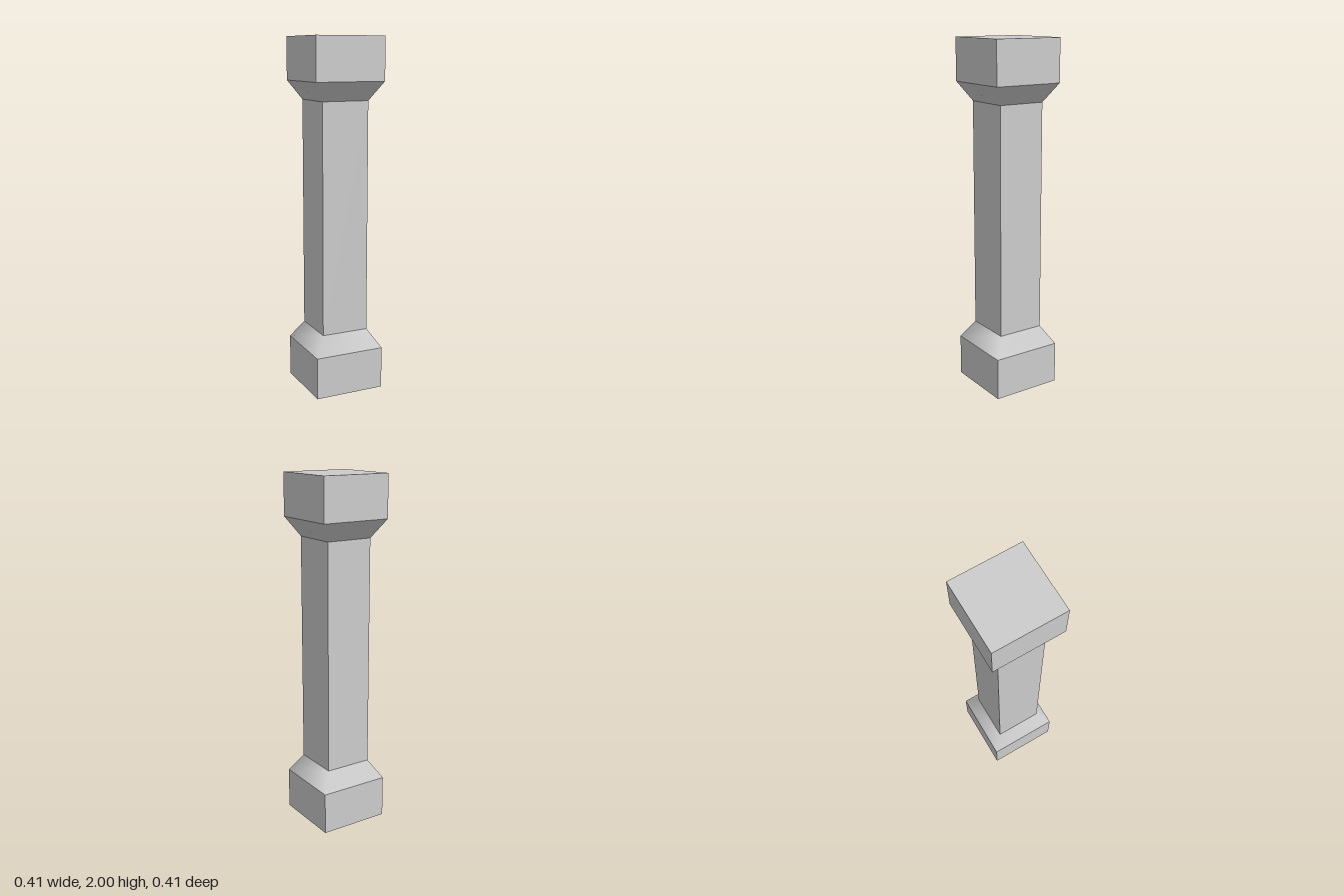
import * as THREE from 'three';

const BLOCK = 0.406, SHAFT = 0.274; // square widths
const BLOCK_H = 0.24, TAPER_H = 0.105, HEIGHT = 2;

export function createModel() {
  const group = new THREE.Group();
  const material = new THREE.MeshStandardMaterial({ color: 0xcccccc });

  const add = (name, geometry, y) => {
    const mesh = new THREE.Mesh(geometry, material);
    mesh.name = name;
    mesh.position.y = y;
    group.add(mesh);
  };

  // Four-sided flare, smooth-shaded around its corners
  const taper = (topWidth, bottomWidth) =>
    new THREE.CylinderGeometry(topWidth * Math.SQRT1_2, bottomWidth * Math.SQRT1_2, TAPER_H, 4, 1, true)
      .rotateY(Math.PI / 4);

  // Square end blocks
  add('baseBlock', new THREE.BoxGeometry(BLOCK, BLOCK_H, BLOCK), BLOCK_H / 2);
  add('capitalBlock', new THREE.BoxGeometry(BLOCK, BLOCK_H, BLOCK), HEIGHT - BLOCK_H / 2);

  // Flares between the blocks and the shaft
  const taperY = BLOCK_H + TAPER_H / 2;
  add('baseTaper', taper(SHAFT, BLOCK), taperY);
  add('capitalTaper', taper(BLOCK, SHAFT), HEIGHT - taperY);

  // Square shaft
  const shaftH = HEIGHT - 2 * (BLOCK_H + TAPER_H);
  add('shaft', new THREE.BoxGeometry(SHAFT, shaftH, SHAFT), HEIGHT / 2);

  return group;
}
